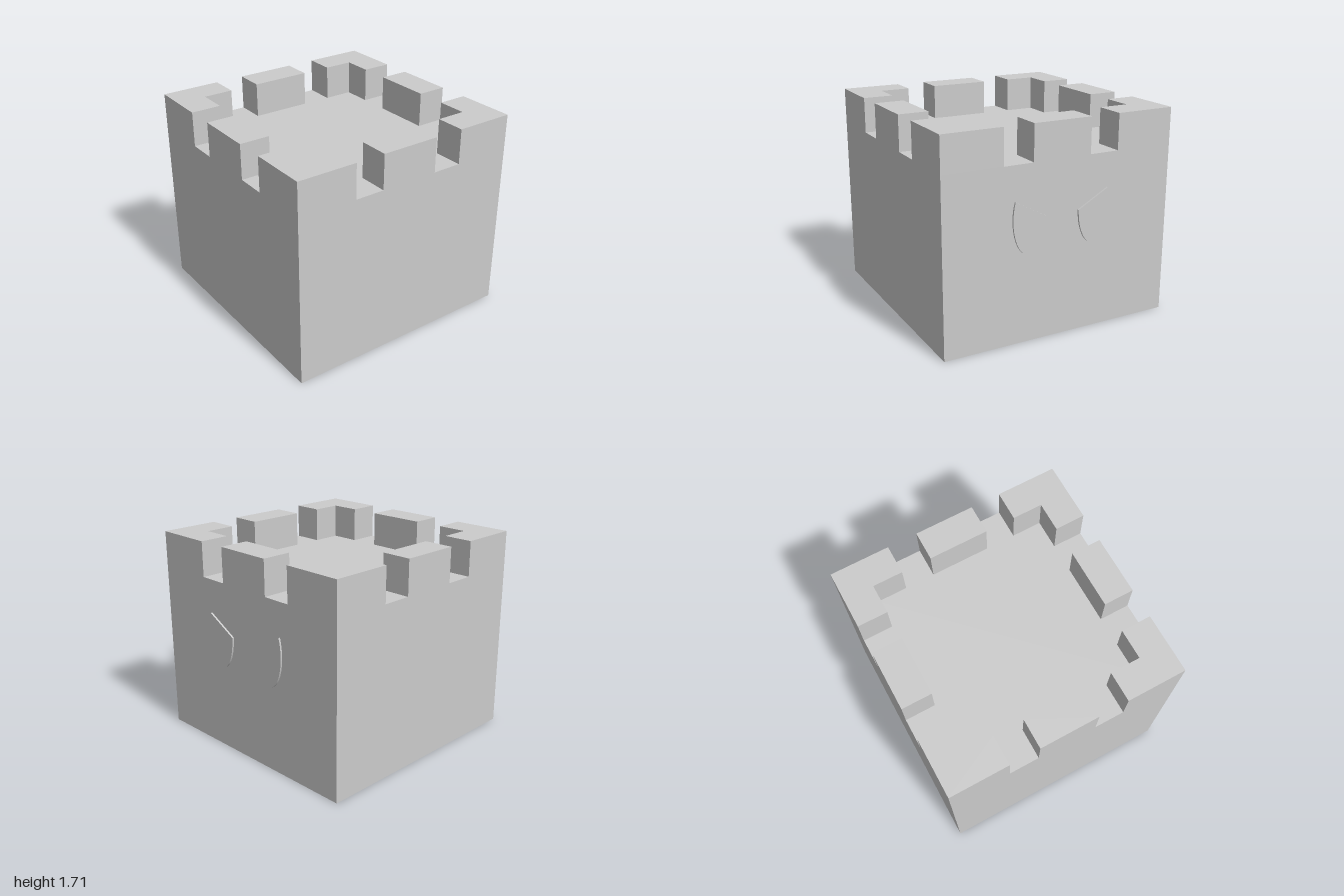
import * as THREE from 'three';

const SIZE = 1.985;        // width and depth of the block
const HALF = SIZE / 2;
const UNIT = SIZE / 8;     // battlement thickness and gap width
const WALL_TOP = 1.42;
const MERLON = 0.29;       // battlement height

export function createModel() {
  const model = new THREE.Group();
  model.name = 'castleBlock';
  const material = new THREE.MeshStandardMaterial({ color: 0xcccccc });

  // The block sits slightly toward -x so that the raised eyes end at x = 1
  const tower = new THREE.Group();
  tower.name = 'tower';
  tower.position.x = -1 + HALF;
  model.add(tower);

  const add = (name, geometry, x = 0, y = 0, z = 0) => {
    const mesh = new THREE.Mesh(geometry, material);
    mesh.name = name;
    mesh.position.set(x, y, z);
    tower.add(mesh);
    return mesh;
  };

  // Solid body
  add('body', new THREE.BoxGeometry(SIZE, WALL_TOP, SIZE), 0, WALL_TOP / 2, 0);

  // L-shaped corner battlement, drawn in plan and extruded upward
  const a = HALF, b = HALF - UNIT, c = HALF - 2 * UNIT;
  const plan = new THREE.Shape(
    [[a, a], [c, a], [c, b], [b, b], [b, c], [a, c]].map(([x, y]) => new THREE.Vector2(x, y))
  );
  const corner = new THREE.ExtrudeGeometry(plan, { depth: MERLON, bevelEnabled: false });
  corner.rotateX(-Math.PI / 2);

  // Straight battlement in the middle of a side
  const middle = new THREE.BoxGeometry(UNIT, MERLON, 2 * UNIT);
  middle.translate(HALF - UNIT / 2, MERLON / 2, 0);

  for (let i = 0; i < 4; i++) {
    add('cornerBattlement', corner, 0, WALL_TOP, 0).rotation.y = i * Math.PI / 2;
    add('middleBattlement', middle, 0, WALL_TOP, 0).rotation.y = i * Math.PI / 2;
  }

  // Slanted eyes on the +x side: ellipses with the top cut off by a chord
  for (const side of [1, -1]) {
    const points = [];
    const steps = 40;
    for (let i = 0; i <= steps; i++) {
      const t = Math.PI * (1 + (7 / 6) * (i / steps));
      points.push(new THREE.Vector2(side * (0.284 + 0.141 * Math.cos(t)), 1 + 0.287 * Math.sin(t)));
    }
    const eye = new THREE.ExtrudeGeometry(new THREE.Shape(points), { depth: 0.03, bevelEnabled: false });
    eye.rotateY(Math.PI / 2);
    add(side > 0 ? 'backEye' : 'frontEye', eye, HALF - 0.015, 0, 0);
  }

  return model;
}
